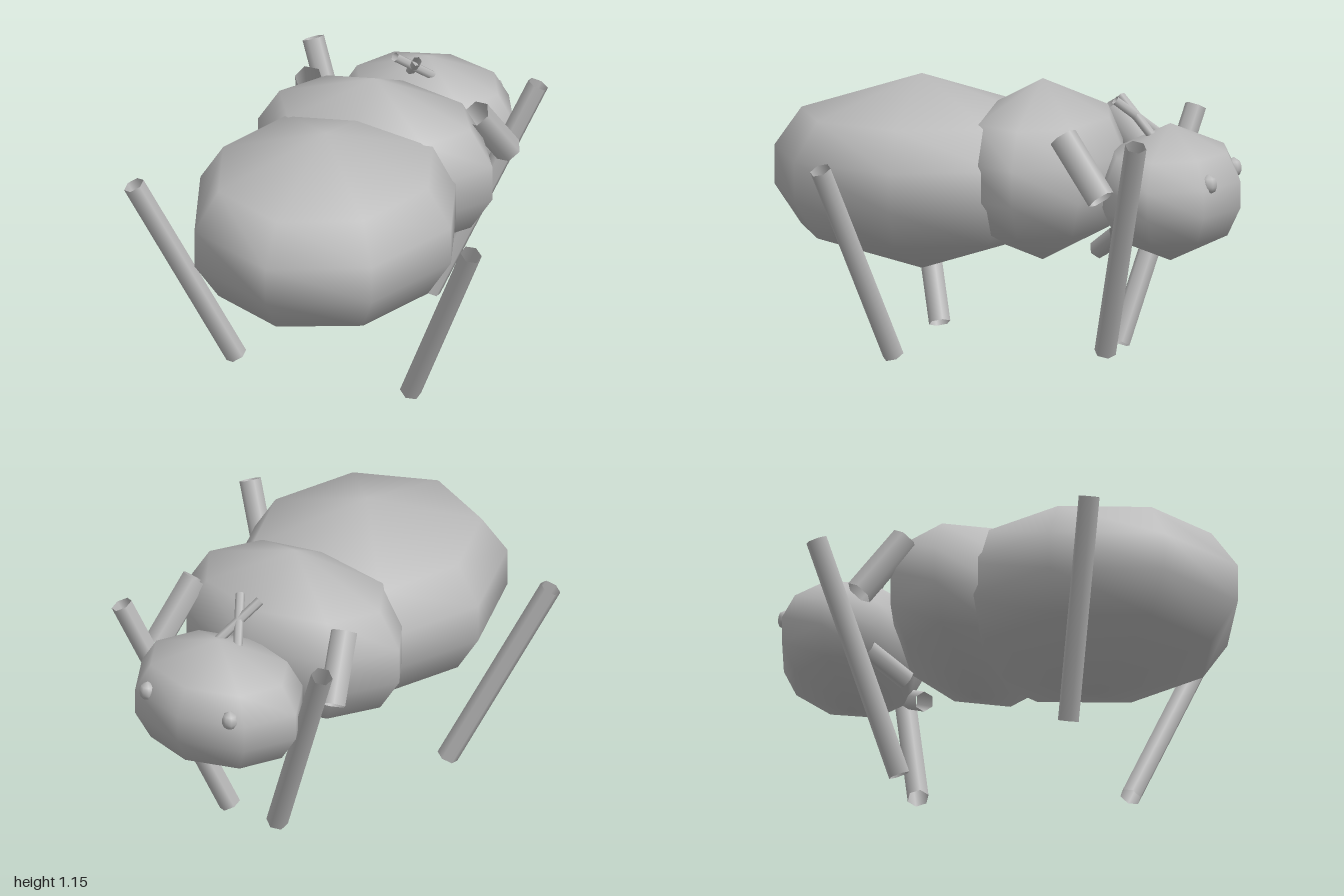
import * as THREE from 'three';
import { mergeVertices } from 'three/addons/utils/BufferGeometryUtils.js';

const grey = new THREE.MeshStandardMaterial({ color: 0xbbbbbb, side: THREE.DoubleSide });
grey.name = 'plain grey';

// Low-poly ellipsoid: eight sides, rings at equal heights, smooth normals
function ellipsoid(name, center, radii) {
  const profile = [-1, -0.6, -0.2, 0.2, 0.6, 1].map(
    h => new THREE.Vector2(Math.sqrt(1 - h * h), h));
  let geo = new THREE.LatheGeometry(profile, 8);
  geo.deleteAttribute('uv');
  geo.deleteAttribute('normal');
  geo.scale(...radii);
  geo = mergeVertices(geo, 1e-4);
  geo.computeVertexNormals();
  const mesh = new THREE.Mesh(geo, grey);
  mesh.name = name;
  mesh.position.set(...center);
  return mesh;
}

// Open-ended tube between two points
function rod(name, from, to, radius) {
  const a = new THREE.Vector3(...from), b = new THREE.Vector3(...to);
  const dir = b.clone().sub(a);
  const mesh = new THREE.Mesh(
    new THREE.CylinderGeometry(radius, radius, dir.length(), 6, 1, true), grey);
  mesh.name = name;
  mesh.position.copy(a).add(b).multiplyScalar(0.5);
  mesh.quaternion.setFromUnitVectors(new THREE.Vector3(0, 1, 0), dir.normalize());
  return mesh;
}

export function createModel() {
  const model = new THREE.Group();
  model.name = 'ant';

  // Body: abdomen at +z, head at -z
  model.add(
    ellipsoid('abdomen', [0, 0.733, 0.367], [0.58, 0.412, 0.646]),
    ellipsoid('thorax', [0, 0.763, -0.152], [0.543, 0.383, 0.358]),
    ellipsoid('head', [0, 0.69, -0.7], [0.4, 0.29, 0.306]));

  for (const s of [1, -1]) {
    const side = s > 0 ? 'left' : 'right';
    // Long legs
    model.add(
      rod(side + 'AbdomenLeg', [s * 0.765, 0.855, 0.61], [s * 0.395, 0.02, 0.39], 0.046),
      rod(side + 'HeadLeg', [s * 0.51, 0.965, -0.68], [s * 0.12, 0.02, -0.45], 0.046));
    // Short thick shoulder stubs and small jaws under the head
    model.add(
      rod(side + 'ShoulderStub', [s * 0.38, 0.97, -0.335], [s * 0.445, 0.725, -0.515], 0.06),
      rod(side + 'Jaw', [s * 0.11, 0.455, -0.42], [s * 0.26, 0.55, -0.54], 0.042));
    // Crossed antennae
    model.add(rod(side + 'Antenna', [s * 0.05, 1.075, -0.475], [-s * 0.05, 0.93, -0.635], 0.02));
    // Eyes
    model.add(ellipsoid(side + 'Eye', [s * 0.21, 0.765, -0.918], [0.035, 0.045, 0.035]));
  }
  return model;
}
